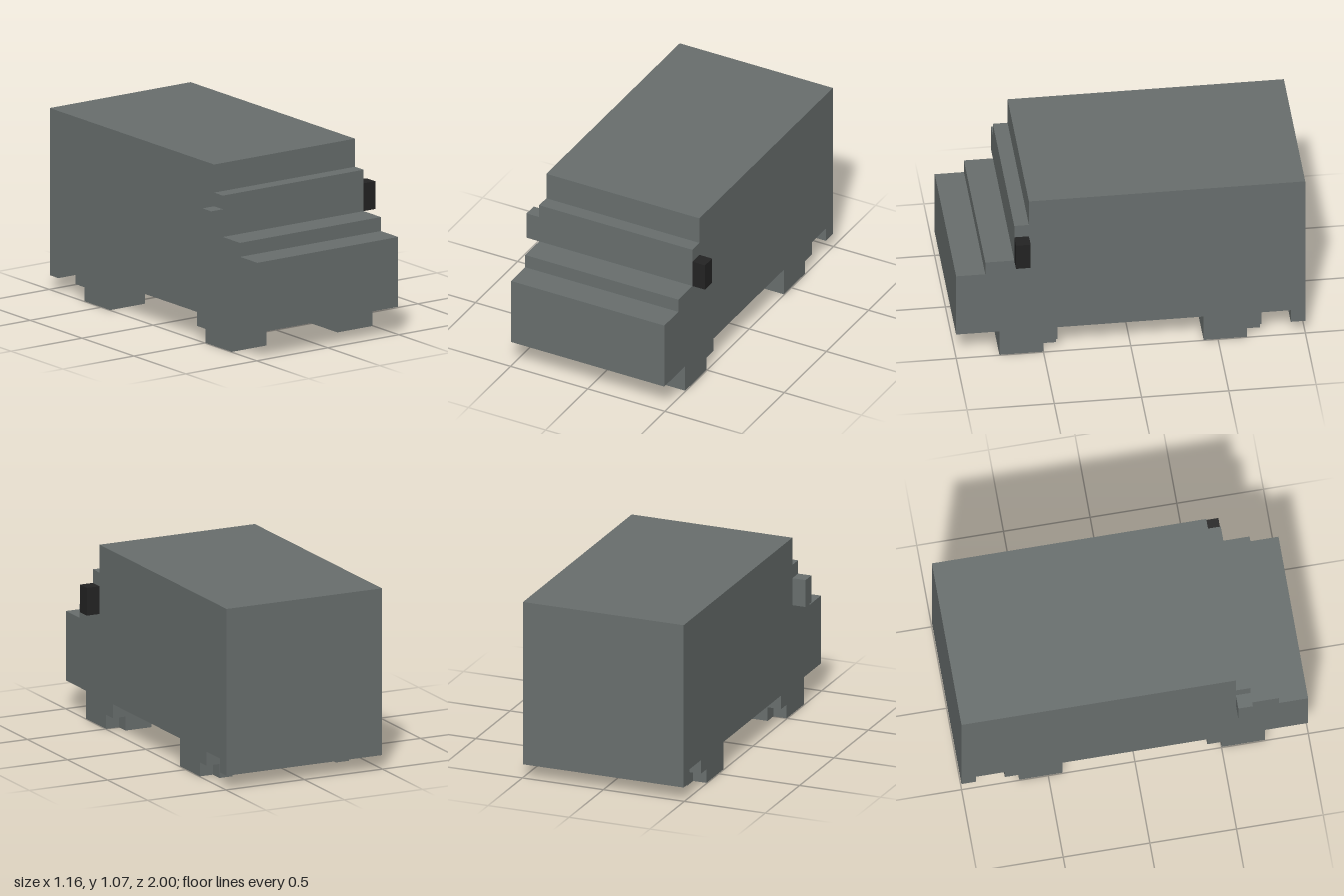
import * as THREE from 'three';

export function createModel() {
  const van = new THREE.Group();
  van.name = 'blockVan';
  const grey = new THREE.MeshStandardMaterial({ color: 0x686e6d });
  grey.name = 'bodyGrey';
  const black = new THREE.MeshStandardMaterial({ color: 0x232323 });
  black.name = 'mirrorBlack';

  const U = 0.0825; // one block
  const W = 0.496; // half width
  const FLOOR = 0.165;

  // Side profile given as [z, y] points, extruded from x0 to x1
  function slab(name, points, x0, x1, parent = van) {
    const shape = new THREE.Shape(points.map(([z, y]) => new THREE.Vector2(z, y)));
    const geo = new THREE.ExtrudeGeometry(shape, { depth: x1 - x0, bevelEnabled: false });
    geo.rotateY(-Math.PI / 2).translate(x1, 0, 0);
    const mesh = new THREE.Mesh(geo, grey);
    mesh.name = name;
    parent.add(mesh);
  }

  function box(name, x0, x1, y0, y1, z0, z1, material = grey) {
    const mesh = new THREE.Mesh(new THREE.BoxGeometry(x1 - x0, y1 - y0, z1 - z0), material);
    mesh.position.set((x0 + x1) / 2, (y0 + y1) / 2, (z0 + z1) / 2);
    mesh.name = name;
    van.add(mesh);
  }

  // Body with stepped bonnet and windscreen, and a lowered rear sill
  slab('body', [
    [1, FLOOR], [1, 0.575], [0.833, 0.575], [0.833, 0.657], [0.667, 0.657],
    [0.667, 0.9], [0.583, 0.9], [0.583, 1.065], [-1, 1.065],
    [-1, 0.083], [-0.917, 0.083], [-0.917, FLOOR],
  ], -W, W);

  // Door mirrors
  box('leftMirror', W, 0.578, 0.657, 0.82, 0.583, 0.667, black);
  box('rightMirror', -0.578, -W, 0.657, 0.82, 0.583, 0.667);

  // Wheels: block slabs with the lower rear corner stepped away
  function wheel(name, side, zBack, zFront, innerNotch) {
    const group = new THREE.Group();
    group.name = name;
    const full = [[zBack, 0], [zFront, 0], [zFront, FLOOR], [zBack, FLOOR]];
    const notched = [[zBack + U, 0], [zFront, 0], [zFront, FLOOR],
      [zBack, FLOOR], [zBack, U], [zBack + U, U]];
    const edges = [0.249, 0.249 + U, W - U, W];
    const profiles = [innerNotch ? notched : full, full, notched];
    profiles.forEach((profile, i) => {
      const a = side * edges[i], b = side * edges[i + 1];
      slab('wheelSlab', profile, Math.min(a, b), Math.max(a, b), group);
    });
    van.add(group);
  }
  for (const side of [1, -1]) {
    const label = side > 0 ? 'Left' : 'Right';
    wheel('front' + label + 'Wheel', side, 0.418, 0.752, false);
    wheel('rear' + label + 'Wheel', side, -0.75, -0.418, true);
  }

  // Axles and the small step ahead of the right rear wheel
  box('frontAxle', -0.249, 0.249, 0.083, FLOOR, 0.418, 0.752);
  box('rearAxle', -0.249, 0.249, 0.083, FLOOR, -0.75, -0.585);
  box('rearStep', -W + U, -0.249, 0.083, FLOOR, -0.418, -0.335);

  return van;
}
